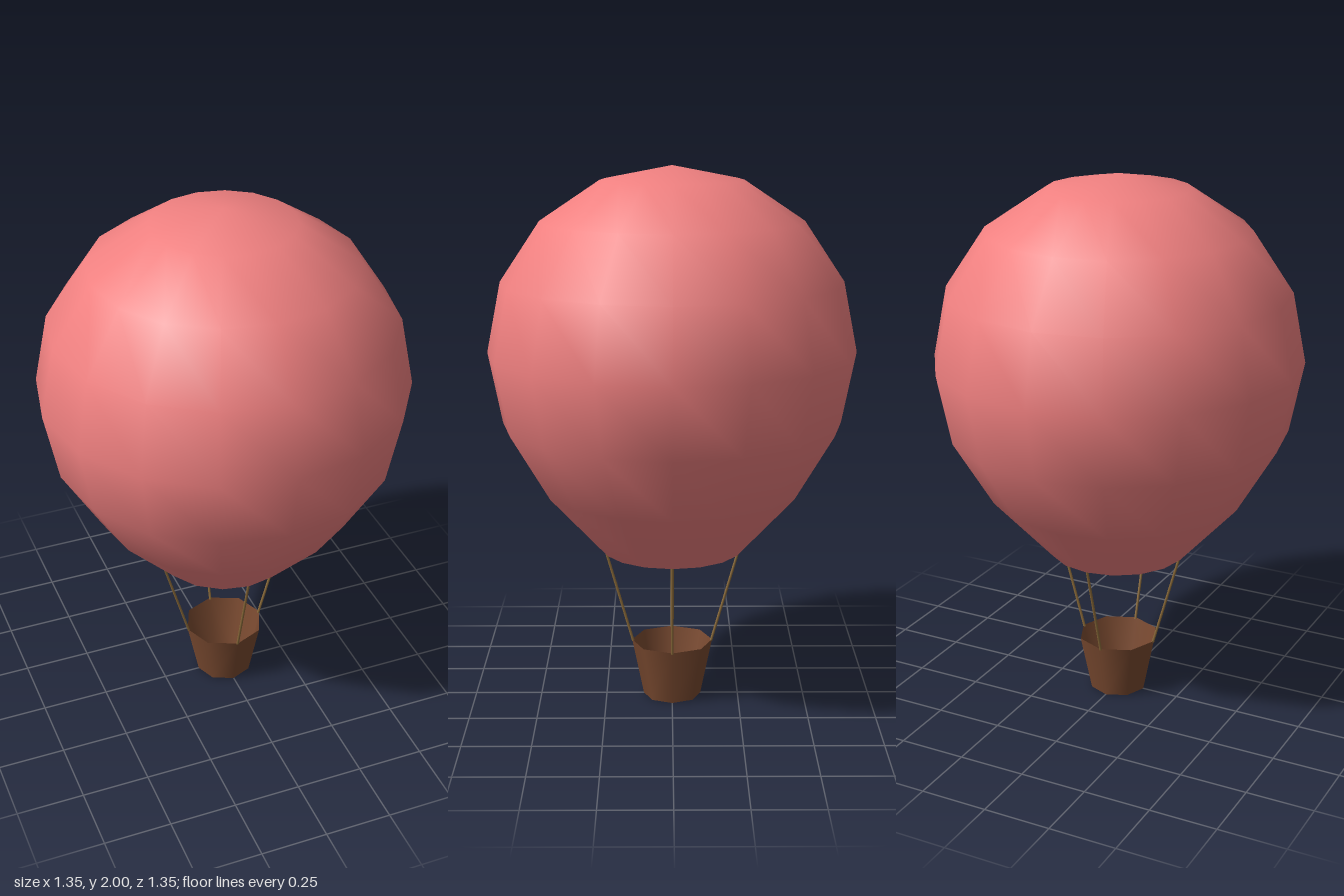
import * as THREE from 'three';

const material = (color, side = THREE.FrontSide) => new THREE.MeshStandardMaterial({ color, side });

function addMesh(parent, name, geometry, mat) {
  const mesh = new THREE.Mesh(geometry, mat);
  mesh.name = name;
  parent.add(mesh);
  return mesh;
}

// Thin rod between two points
function rod(a, b, radius) {
  const dir = b.clone().sub(a);
  const geometry = new THREE.CylinderGeometry(radius, radius, dir.length(), 6);
  geometry.applyQuaternion(
    new THREE.Quaternion().setFromUnitVectors(new THREE.Vector3(0, 1, 0), dir.normalize()));
  const mid = a.clone().add(b).multiplyScalar(0.5);
  return geometry.translate(mid.x, mid.y, mid.z);
}

export function createModel() {
  const group = new THREE.Group();
  group.name = 'hotAirBalloon';

  // Envelope: a ball whose lowest rings are drawn down to an open mouth
  const R = 0.675;
  const drop = [0.124, 0.032, 0.004];
  const profile = [];
  for (let i = 1; i <= 8; i++) {
    const t = (i / 8) * Math.PI;
    profile.push(new THREE.Vector2(i === 8 ? 0 : R * Math.sin(t), 2 - R - R * Math.cos(t) - (drop[i - 1] || 0)));
  }
  const envelope = new THREE.LatheGeometry(profile, 16);
  // Smooth crown: normals at the pole point straight up
  const normal = envelope.attributes.normal;
  for (let i = profile.length - 1; i < normal.count; i += profile.length) normal.setXYZ(i, 0, 1, 0);
  addMesh(group, 'envelope', envelope, material(0xf08080, THREE.DoubleSide));

  // Basket: open tapered tub with a floor
  const basket = new THREE.Group();
  basket.name = 'basket';
  group.add(basket);
  const wicker = material(0x7a4a30, THREE.DoubleSide);
  addMesh(basket, 'basketWall',
    new THREE.CylinderGeometry(0.152, 0.108, 0.215, 8, 1, true).translate(0, 0.1075, 0), wicker);
  addMesh(basket, 'basketFloor', new THREE.CircleGeometry(0.108, 8).rotateX(Math.PI / 2), wicker);

  // Four ropes from the mouth to the basket rim
  const ropes = new THREE.Group();
  ropes.name = 'ropes';
  group.add(ropes);
  const ropeMaterial = material(0x8b6b3a);
  for (let i = 0; i < 4; i++) {
    const a = (i * Math.PI) / 2;
    const at = (r, y) => new THREE.Vector3(r * Math.sin(a), y, r * Math.cos(a));
    addMesh(ropes, 'rope', rod(at(0.148, 0.21), at(0.253, 0.58), 0.005), ropeMaterial);
  }

  return group;
}
